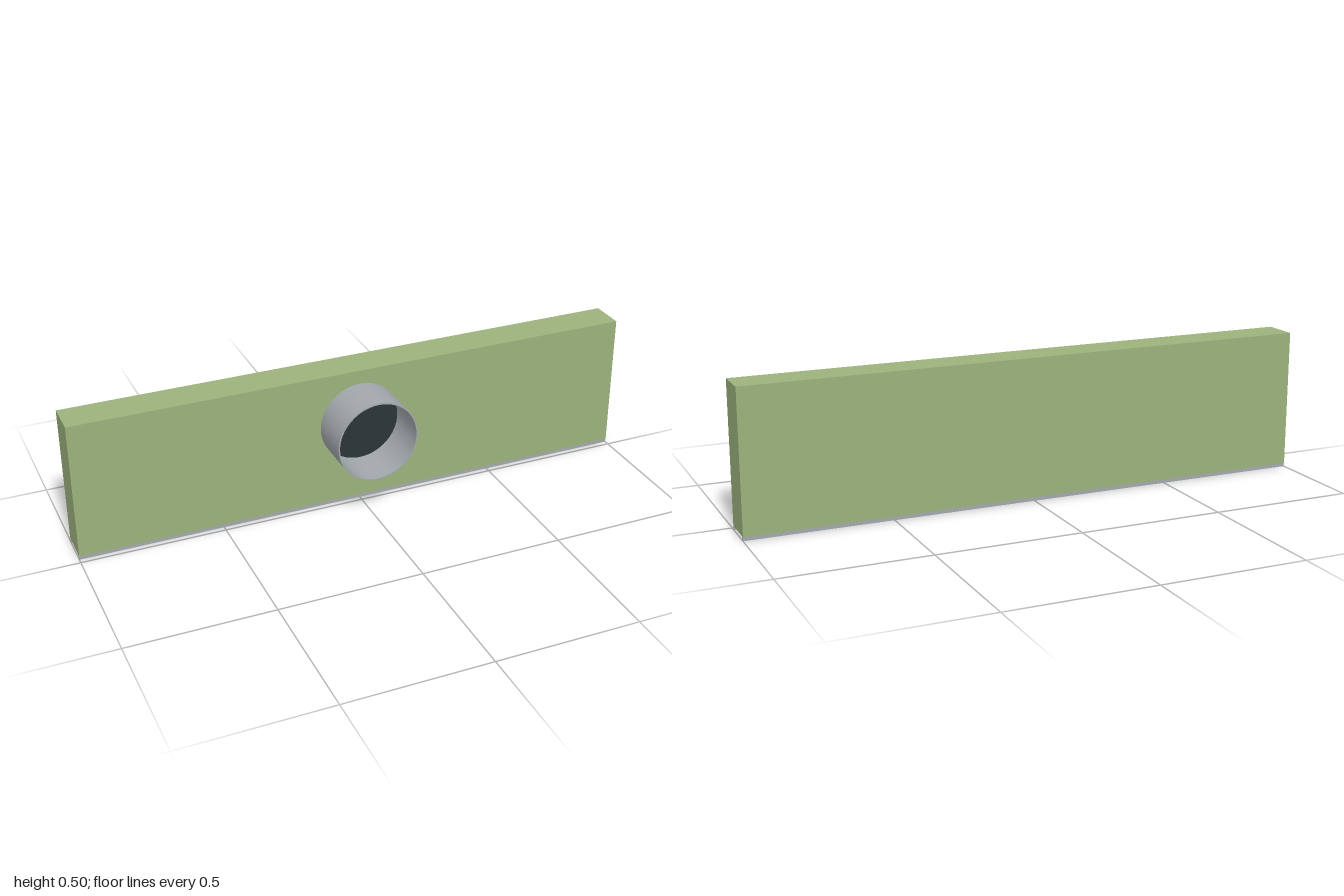
import * as THREE from 'three';

export function createModel() {
  const model = new THREE.Group();
  const green = new THREE.MeshStandardMaterial({ color: 0x9cb27c });
  green.name = 'sage green';
  const grey = new THREE.MeshStandardMaterial({ color: 0xa2a8ac });
  grey.name = 'metal grey';
  const dark = new THREE.MeshStandardMaterial({ color: 0x2c3537 });
  dark.name = 'dark opening';

  const add = (name, geometry, material, x, y, z) => {
    const mesh = new THREE.Mesh(geometry, material);
    mesh.name = name;
    mesh.position.set(x, y, z);
    model.add(mesh);
    return mesh;
  };
  const box = (name, material, w, h, d, x, y, z) =>
    add(name, new THREE.BoxGeometry(w, h, d), material, x, y, z);

  const midZ = -0.079; // centre of the casing depth
  const ductY = 0.303, ductR = 0.144;

  // Casing: long flat box
  box('casing', green, 2, 0.482, 0.124, 0, 0.254, midZ);

  // Round duct collar: thin wall with rim, swept as a closed profile
  const wall = [[0.139, -0.016], [ductR, -0.016], [ductR, 0.142], [0.139, 0.142], [0.139, -0.016]];
  const outer = wall.slice(1, 3), rim = wall.slice(2, 4), inner = wall.slice(3, 5);
  const collar = new THREE.Group();
  collar.name = 'ductCollar';
  collar.position.y = ductY;
  collar.rotation.x = Math.PI / 2;
  [['collarOutside', outer], ['collarRim', rim], ['collarInside', inner]].forEach(([name, pts]) => {
    const mesh = new THREE.Mesh(
      new THREE.LatheGeometry(pts.map(([r, z]) => new THREE.Vector2(r, z)), 64), grey);
    mesh.name = name;
    collar.add(mesh);
  });
  model.add(collar);

  // Dark opening where the collar meets the casing
  add('ductOpening', new THREE.CircleGeometry(0.1395, 64), dark, 0, ductY, -0.014);

  // Outlet slot under the casing
  box('slotOpening', dark, 1.996, 0.002, 0.112, 0, 0.0125, midZ);

  // Slot frame: outer and inner rails along both long sides
  for (const side of [-1, 1]) {
    box('outerRail', grey, 2, 0.014, 0.006, 0, 0.007, midZ + side * 0.0575);
    box('innerRail', grey, 2, 0.011, 0.003, 0, 0.0075, midZ + side * 0.0495);
    // Cross bar near each end
    box('crossBar', grey, 0.008, 0.013, 0.098, side * 0.94, 0.0065, midZ);
  }
  return model;
}
